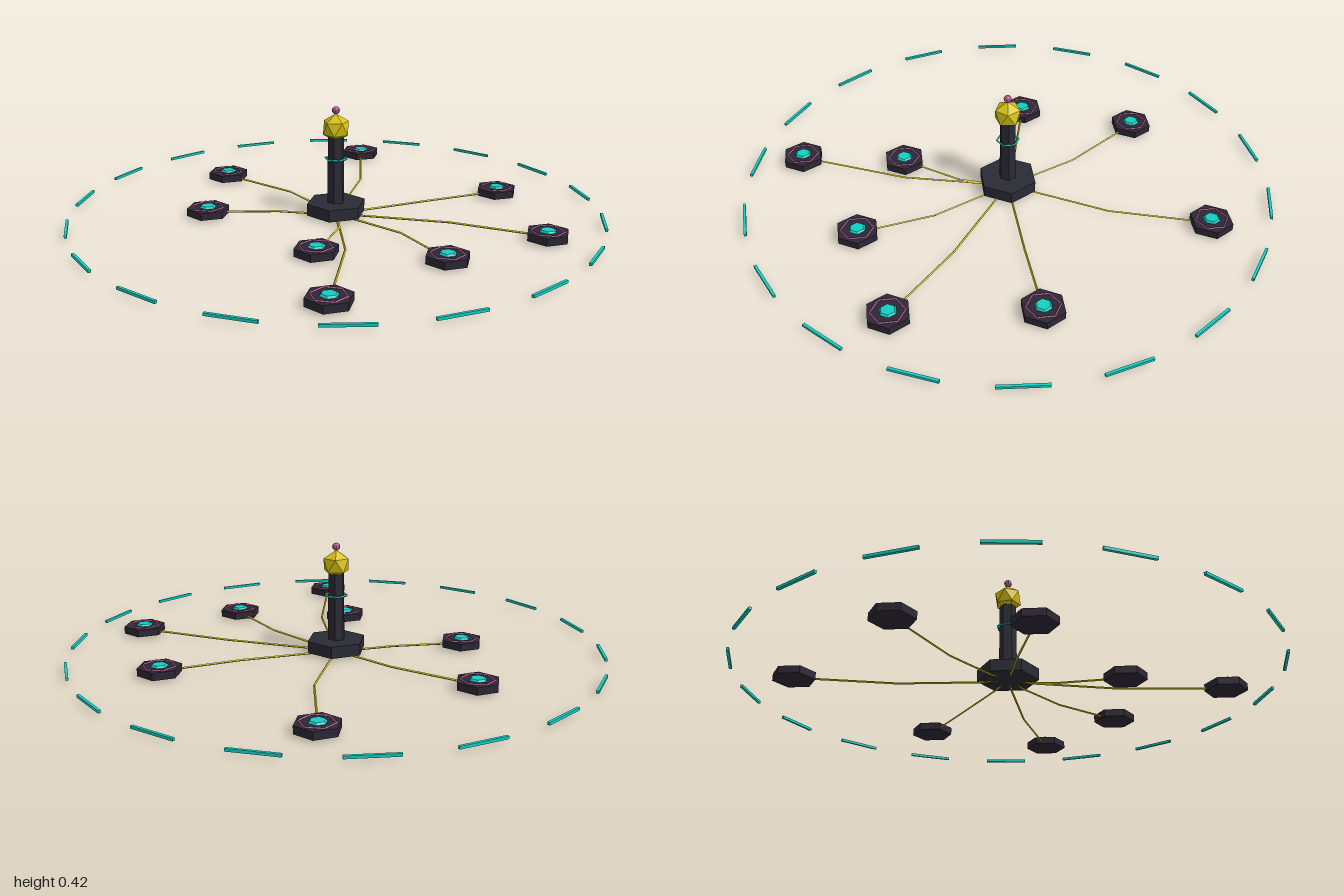
import * as THREE from 'three';

const mat = (name, color) => {
  const m = new THREE.MeshStandardMaterial({ color, flatShading: true });
  m.name = name;
  return m;
};

export function createModel() {
  const group = new THREE.Group();
  const charcoal = mat('charcoal', 0x2b2b36);
  const plum = mat('dark plum', 0x2d2735);
  const cyan = mat('cyan', 0x14d0c4);
  const yellow = mat('yellow', 0xd8c414);
  const pink = mat('dusty pink', 0xb45c96);

  const add = (parent, name, geo, material, x = 0, y = 0, z = 0) => {
    const mesh = new THREE.Mesh(geo, material);
    mesh.name = name;
    mesh.position.set(x, y, z);
    parent.add(mesh);
    return mesh;
  };
  // Six-sided prism between two heights, corners on the z axis
  const hexPrism = (r, y0, y1, rTop = r) =>
    new THREE.CylinderGeometry(rTop, r, y1 - y0, 6).translate(0, (y0 + y1) / 2, 0);
  // Six-sided flat ring, corners on the x axis
  const hexRing = (r, tube) => new THREE.TorusGeometry(r, tube, 4, 6).rotateX(-Math.PI / 2);

  // Central tower
  const tower = new THREE.Group();
  tower.name = 'tower';
  group.add(tower);
  add(tower, 'base', hexPrism(0.113, 0.006, 0.051), charcoal);
  add(tower, 'column', hexPrism(0.033, 0.051, 0.305, 0.031), charcoal);
  add(tower, 'collar', hexRing(0.041, 0.004), cyan, 0, 0.22, 0);
  // Gem with one corner pointing straight up
  const gem = new THREE.IcosahedronGeometry(0.054, 0).rotateZ(Math.atan2(1, (1 + Math.sqrt(5)) / 2));
  add(tower, 'gem', gem, yellow, 0, 0.338, 0);
  add(tower, 'finial', new THREE.SphereGeometry(0.015, 8, 6), pink, 0, 0.404, 0);

  // Outer stations: x, z, then the bend of the path that leads there
  const stations = [
    [0.015, -0.63, 0.045, -0.29],
    [0.64, -0.445, 0.36, -0.195],
    [0.6, 0.315, 0.33, 0.18],
    [0.305, 0.735, 0.19, 0.39],
    [-0.105, 0.605, -0.015, 0.33],
    [-0.615, 0.545, -0.27, 0.295],
    [-0.355, 0.24, -0.13, 0.135],
    [-0.34, -0.34, -0.15, -0.155],
  ];
  for (const [x, z, bx, bz] of stations) {
    const station = new THREE.Group();
    station.name = 'station';
    station.position.set(x, 0, z);
    group.add(station);
    add(station, 'pad', hexPrism(0.08, 0.007, 0.035), plum);
    add(station, 'padRing', hexRing(0.06, 0.004), pink, 0, 0.036, 0);
    add(station, 'padLight', hexPrism(0.032, 0.035, 0.042, 0.026), cyan);

    // Bent path, dipping slightly below the base near its rim
    const k = 0.09 / Math.hypot(bx, bz);
    const points = [[0, 0.014, 0], [bx * k, 0.004, bz * k], [bx, 0.013, bz], [x, 0.016, z]]
      .map((p) => new THREE.Vector3(...p));
    const path = new THREE.CurvePath();
    for (let i = 0; i < 3; i++) path.add(new THREE.LineCurve3(points[i], points[i + 1]));
    for (const line of path.curves) {
      add(group, 'path', new THREE.TubeGeometry(line, 1, 0.004, 4), yellow);
    }
  }

  // Dashed boundary: each dash spans ten degrees, then a ten-degree gap
  for (let i = 0; i < 18; i++) {
    const a = THREE.MathUtils.degToRad(5 + i * 20);
    const dash = add(group, 'boundaryDash', new THREE.BoxGeometry(0.173, 0.01, 0.01), cyan,
      Math.sin(a) * 0.989, 0.017, -Math.cos(a) * 0.989);
    dash.rotation.y = -a;
  }
  return group;
}
